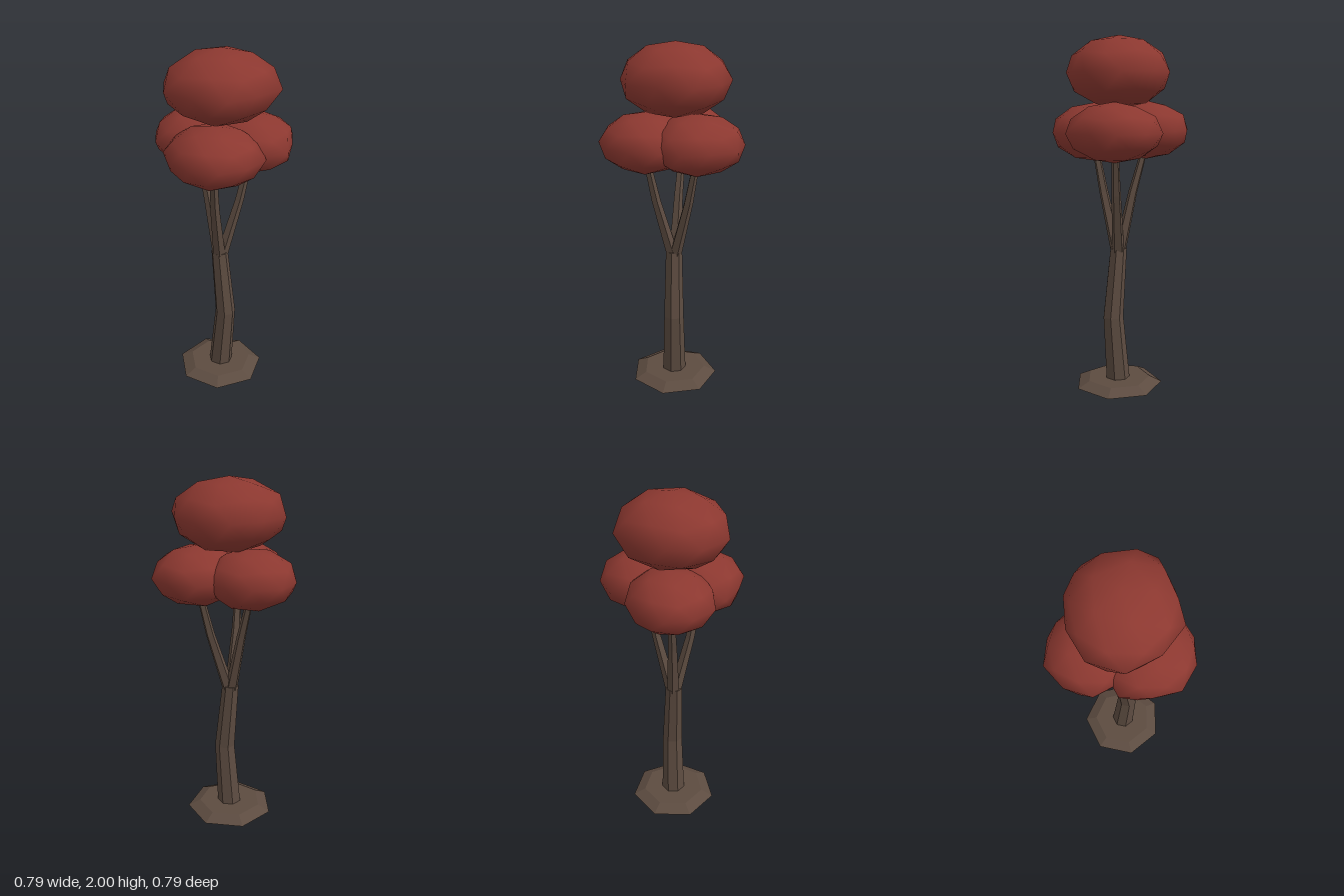
import * as THREE from 'three';
import { mergeVertices } from 'three/addons/utils/BufferGeometryUtils.js';

const bark = new THREE.MeshStandardMaterial({ color: 0x5c4b40 });
bark.name = 'bark';
const foliage = new THREE.MeshStandardMaterial({ color: 0x8c3830 });
foliage.name = 'foliage';

// Faceted tube through horizontal rings, listed bottom to top as [x, y, z, radius]
function limb(name, sides, rings) {
  const n = rings.length - 1;
  const indexed = new THREE.CylinderGeometry(1, 1, 1, sides, n).rotateY(Math.PI);
  const p = indexed.attributes.position;
  for (let i = 0; i < p.count; i++) {
    const [x, y, z, r] = rings[Math.round((p.getY(i) + 0.5) * n)];
    p.setXYZ(i, x + p.getX(i) * r, y, z + p.getZ(i) * r);
  }
  const geometry = indexed.toNonIndexed();
  geometry.computeVertexNormals();
  const mesh = new THREE.Mesh(geometry, bark);
  mesh.name = name;
  return mesh;
}

// Squashed smooth icosphere; ten outline radii run from +z towards -x
function leafClump(name, [cx, cy, cz], halfHeight, outline) {
  let geometry = new THREE.IcosahedronGeometry(1, 1);
  geometry.rotateZ(Math.atan2(2, 1 + Math.sqrt(5)));
  geometry.deleteAttribute('normal');
  geometry.deleteAttribute('uv');
  geometry = mergeVertices(geometry, 1e-3);
  const p = geometry.attributes.position;
  for (let i = 0; i < p.count; i++) {
    const x = p.getX(i), z = p.getZ(i);
    const turn = (Math.atan2(-x, z) / (Math.PI * 2) + 1) * 10;
    const k = Math.floor(turn);
    const r = THREE.MathUtils.lerp(outline[k % 10], outline[(k + 1) % 10], turn - k);
    p.setXYZ(i, cx + x * r, cy + p.getY(i) * halfHeight, cz + z * r);
  }
  geometry.computeVertexNormals();
  const mesh = new THREE.Mesh(geometry, foliage);
  mesh.name = name;
  return mesh;
}

export function createModel() {
  const tree = new THREE.Group();
  tree.name = 'tree';

  // Ground mound and bent trunk
  tree.add(limb('rootMound', 7, [[0.012, 0, -0.015, 0.256], [0.012, 0.035, -0.015, 0.185]]));
  tree.add(limb('trunk', 7, [
    [0.015, 0.02, -0.015, 0.071],
    [0.048, 0.41, -0.013, 0.06],
    [0.008, 0.81, -0.012, 0.049],
  ]));

  // Three forking branches: middle and tip positions [x, z]
  const branches = {
    leftBackBranch: [[0.088, -0.095], [0.122, -0.13]],
    rightBranch: [[-0.08, -0.035], [-0.14, -0.052]],
    frontBranch: [[0.035, 0.088], [0.052, 0.13]],
  };
  for (const [name, [mid, tip]] of Object.entries(branches)) {
    tree.add(limb(name, 5, [
      [0.008 + mid[0] * 0.1, 0.79, -0.012 + mid[1] * 0.1, 0.037],
      [mid[0], 1.13, mid[1], 0.027],
      [tip[0], 1.34, tip[1], 0.021],
      [tip[0] * 1.1, 1.42, tip[1] * 1.1, 0.018],
    ]));
  }

  // Foliage clumps
  tree.add(leafClump('topFoliage', [0.01, 1.8, -0.02], 0.2,
    [0.295, 0.32, 0.31, 0.28, 0.286, 0.305, 0.3, 0.326, 0.272, 0.308]));
  tree.add(leafClump('frontFoliage', [0.06, 1.47, 0.135], 0.165,
    [0.26, 0.24, 0.28, 0.25, 0.25, 0.25, 0.25, 0.275, 0.25, 0.25]));
  tree.add(leafClump('rightFoliage', [-0.155, 1.482, -0.065], 0.163,
    [0.235, 0.258, 0.25, 0.256, 0.232, 0.235, 0.24, 0.24, 0.24, 0.24]));
  tree.add(leafClump('leftBackFoliage', [0.135, 1.48, -0.14], 0.163,
    [0.25, 0.25, 0.25, 0.25, 0.265, 0.255, 0.258, 0.226, 0.274, 0.25]));

  return tree;
}
